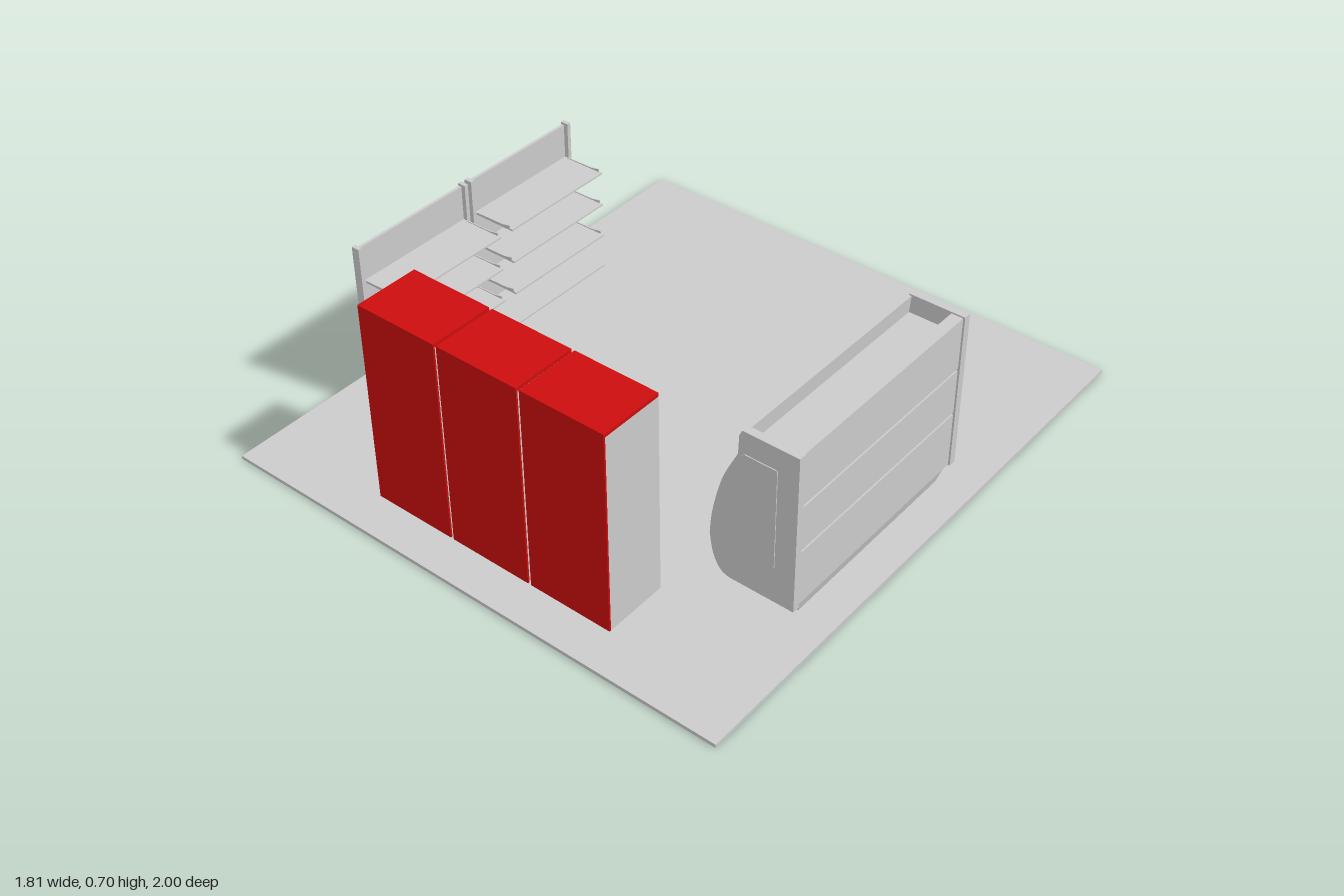
import * as THREE from 'three';

const grey = new THREE.MeshStandardMaterial({ color: 0xcccccc, side: THREE.DoubleSide });
const red = new THREE.MeshStandardMaterial({ color: 0xcc0d0d });
const FLOOR = 0.012;

// Box given by its min and max corners
function box(parent, name, x0, x1, y0, y1, z0, z1, mat = grey) {
  const mesh = new THREE.Mesh(new THREE.BoxGeometry(x1 - x0, y1 - y0, z1 - z0), mat);
  mesh.position.set((x0 + x1) / 2, (y0 + y1) / 2, (z0 + z1) / 2);
  mesh.name = name;
  parent.add(mesh);
  return mesh;
}

// Outline in x and y, extruded along z
function prism(parent, name, points, z0, z1) {
  const shape = new THREE.Shape(points.map(([x, y]) => new THREE.Vector2(x, y)));
  const geo = new THREE.ExtrudeGeometry(shape, { depth: z1 - z0, bevelEnabled: false });
  geo.translate(0, 0, z0);
  const mesh = new THREE.Mesh(geo, grey);
  mesh.name = name;
  parent.add(mesh);
  return mesh;
}

// Smooth curve through a few points
function smooth(points, n = 20) {
  return new THREE.SplineCurve(points.map(([x, y]) => new THREE.Vector2(x, y)))
    .getPoints(n).map(p => [p.x, p.y]);
}

// Bookcase, open towards -z, with red back and top
function bookcase(x0) {
  const g = new THREE.Group();
  g.name = 'bookcase';
  const x1 = x0 + 0.288, z0 = 0.647, z1 = 0.865, top = 0.705, t = 0.012;
  box(g, 'backPanel', x0, x1, FLOOR, top, z1 - 0.006, z1, red);
  box(g, 'backLiner', x0 + t, x1 - t, FLOOR, top - t, z1 - 0.012, z1 - 0.006);
  box(g, 'topPanel', x0, x1, top - t, top, z0, z1 - 0.006, red);
  for (const x of [x0, x1 - t]) box(g, 'sidePanel', x, x + t, FLOOR, top - t, z0, z1 - 0.006);
  for (const y of [0.07, 0.21, 0.36, 0.51])
    box(g, 'shelf', x0 + t, x1 - t, y, y + 0.01, z0 + 0.006, z1 - 0.012);
  return g;
}

// Wall shelving with two posts and four shelves reaching towards +x
function wallShelving(z0) {
  const g = new THREE.Group();
  g.name = 'wallShelving';
  const z1 = z0 + 0.462, post = 0.014;
  for (const z of [z0, z1 - post]) box(g, 'post', -0.79, -0.762, FLOOR, 0.6, z, z + post);
  box(g, 'backPanel', -0.787, -0.777, FLOOR + 0.01, 0.592, z0 + post, z1 - post);
  [0.11, 0.23, 0.35, 0.47].forEach((y, i) => {
    const a = z0 + post, b = z1 - post - 0.008;
    box(g, 'shelf', -0.777, -0.618, y - 0.003, y + 0.003, a, b);
    if (i === 0) return;
    // tapered end brackets
    for (const z of [a, b - 0.004])
      prism(g, 'shelfBracket', [[-0.765, y], [-0.63, y], [-0.63, y + 0.013], [-0.66, y + 0.007], [-0.765, y + 0.005]], z, z + 0.004);
  });
  return g;
}

// Open-fronted display cooler, its opening towards -x
function displayCooler() {
  const g = new THREE.Group();
  g.name = 'displayCooler';
  const Z0 = -0.272, Z1 = 0.536, t = 0.026, a = Z0 + t, b = Z1 - t;
  const lower = smooth([[0.59, 0.062], [0.56, 0.075], [0.534, 0.12], [0.521, 0.19]], 12);
  const upper = smooth([[0.521, 0.19], [0.53, 0.28], [0.562, 0.41], [0.612, 0.52]], 14);

  // end walls with a raised panel on the outside
  const outline = [...lower, ...upper.slice(1), [0.615, 0.585], [0.625, 0.605], [0.81, 0.605], [0.81, 0.062]];
  const inset = [...upper.map(([x, y]) => [x + 0.01, y]), [0.635, 0.53], [0.742, 0.53], [0.742, 0.19]];
  prism(g, 'endWall', outline, Z0, a);
  prism(g, 'endWall', outline, b, Z1);
  prism(g, 'endPanel', inset, Z0 - 0.003, Z0);
  prism(g, 'endPanel', inset, Z1, Z1 + 0.003);

  // lower tub: curved front skin, lip and floor
  const skin = [...lower, [0.535, 0.2], [0.545, 0.19], [0.552, 0.15], [0.8, 0.15], [0.8, 0.062]];
  prism(g, 'tub', skin, a, b);
  box(g, 'frontRail', 0.523, 0.537, 0.19, 0.203, a, b);

  // back wall in three strips, shallow grooves between
  box(g, 'backCore', 0.765, 0.797, 0.15, 0.6, a, b);
  for (const [y0, y1] of [[0.065, 0.255], [0.263, 0.415], [0.423, 0.6]])
    box(g, 'backStrip', 0.797, 0.804, y0, y1, a, b);

  // canopy: recessed top tray behind a front fascia
  box(g, 'canopyTray', 0.62, 0.765, 0.53, 0.542, a, b);
  prism(g, 'canopyFascia', [[0.612, 0.525], [0.626, 0.525], [0.632, 0.6], [0.62, 0.6], [0.615, 0.585]], a, b);

  // shelves with price rails
  [[0.25, 0.595], [0.335, 0.61], [0.42, 0.625]].forEach(([y, x]) => {
    box(g, 'shelf', x, 0.765, y, y + 0.006, a, b);
    box(g, 'shelfRail', x - 0.004, x, y - 0.008, y + 0.01, a, b);
  });

  // tapered base
  const base = new THREE.BoxGeometry(0.215, 0.05, 0.725);
  const p = base.attributes.position;
  for (let i = 0; i < p.count; i++)
    if (p.getY(i) < 0) p.setXYZ(i, p.getX(i) * 0.87, p.getY(i), p.getZ(i) * 0.95);
  base.computeVertexNormals();
  const foot = new THREE.Mesh(base, grey);
  foot.position.set(0.693, FLOOR + 0.025, 0.133);
  foot.name = 'base';
  g.add(foot);
  return g;
}

export function createModel() {
  const model = new THREE.Group();
  model.name = 'shopInterior';
  box(model, 'floor', -0.907, 0.907, 0, FLOOR, -1, 1);
  for (let i = 0; i < 3; i++) model.add(bookcase(-0.45 + i * 0.299));
  for (const z of [-0.36, 0.116]) model.add(wallShelving(z));
  model.add(displayCooler());
  return model;
}
